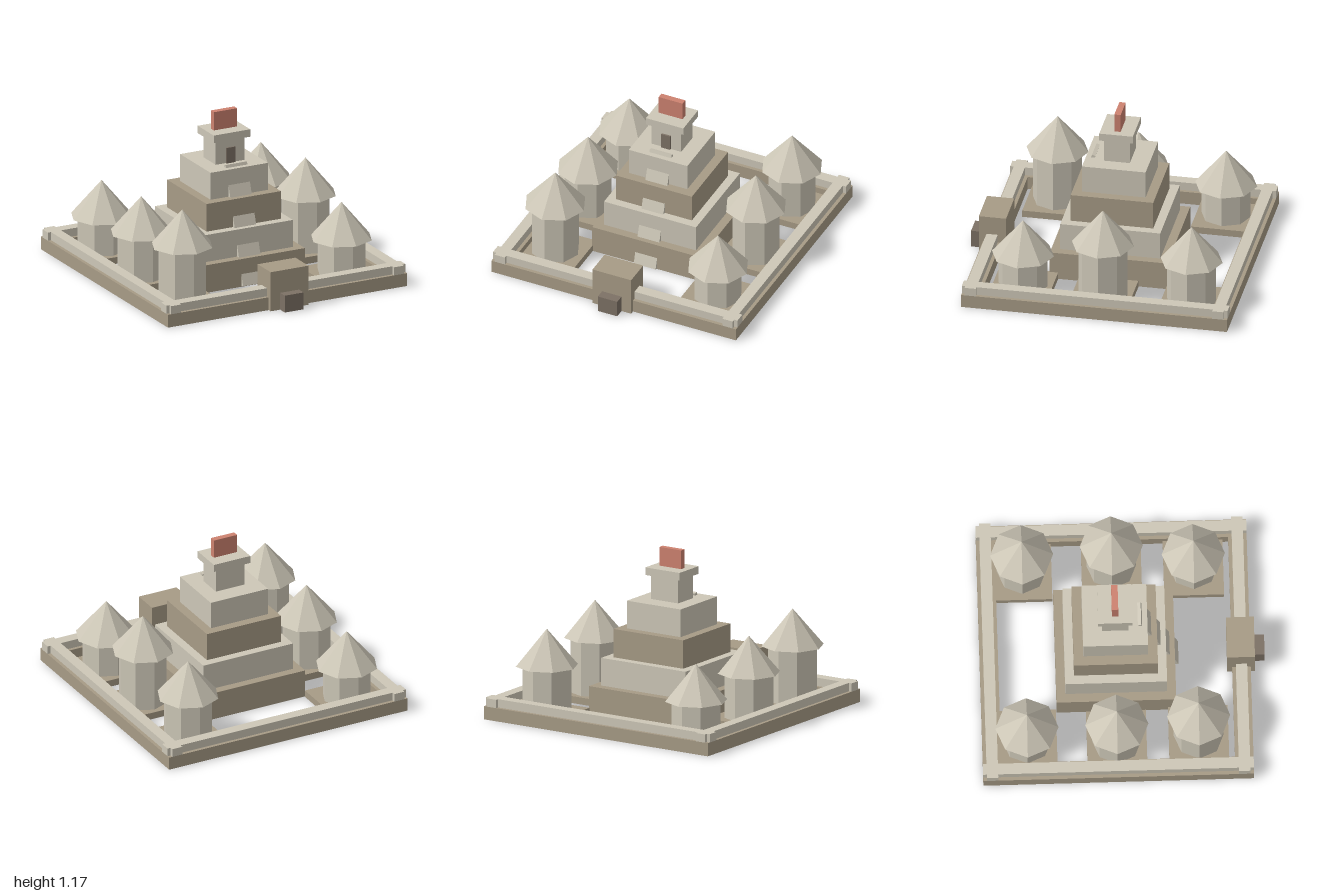
import * as THREE from 'three';

const material = (name, color) => {
  const m = new THREE.MeshStandardMaterial({ color });
  m.name = name;
  return m;
};

export function createModel() {
  const model = new THREE.Group();
  model.name = 'stepTempleCompound';
  const stone = material('pale stone', 0xcdc7b7);
  const earth = material('brown stone', 0xa79b86);
  const dark = material('dark opening', 0x7d7165);
  const red = material('red crest', 0xcd8270);
  const midZ = -0.05; // centre of the walled court

  const add = (name, geometry, mat, x, y, z, parent = model) => {
    const mesh = new THREE.Mesh(geometry, mat);
    mesh.name = name;
    mesh.position.set(x, y, z);
    parent.add(mesh);
    return mesh;
  };
  // Box given by its width, depth and its bottom and top heights
  const block = (name, mat, x, z, w, d, y0, y1, parent) =>
    add(name, new THREE.BoxGeometry(w, y1 - y0, d), mat, x, (y0 + y1) / 2, z, parent);
  // Faceted geometry with one normal per face
  const faceted = (geometry) => {
    const g = geometry.toNonIndexed();
    g.computeVertexNormals();
    return g;
  };

  // Surrounding wall: footing with a narrower parapet that crosses at the corners
  const wall = new THREE.Group();
  wall.name = 'courtWall';
  model.add(wall);
  for (const s of [-1, 1]) {
    block('sideFooting', earth, s * 0.885, midZ, 0.13, 1.9, 0, 0.095, wall);
    block('sideParapet', stone, s * 0.885, midZ, 0.08, 1.9, 0.095, 0.155, wall);
    block('endFooting', earth, 0, midZ + s * 0.885, 1.64, 0.13, 0, 0.095, wall);
    block('endParapet', stone, 0, midZ + s * 0.885, 1.9, 0.08, 0.095, 0.155, wall);
  }

  // Gatehouse
  block('gatehouse', earth, 0, 0.8325, 0.3, 0.195, 0, 0.29);
  block('gateDoor', dark, 0, 0.95, 0.15, 0.1, 0, 0.125);

  // Stepped pyramid: width, bottom, top, material
  const pyramid = new THREE.Group();
  pyramid.name = 'pyramid';
  model.add(pyramid);
  [
    [0.84, 0, 0.205, earth],
    [0.715, 0.205, 0.405, stone],
    [0.59, 0.405, 0.61, earth],
    [0.455, 0.61, 0.81, stone],
  ].forEach(([w, y0, y1, mat], i) => block('tier' + (i + 1), mat, 0, midZ, w, w, y0, y1, pyramid));

  // Sloping stair that shows above each ledge
  const stair = add('stair', new THREE.BoxGeometry(0.17, 0.86, 0.025), stone, 0, 0.418, 0.253, pyramid);
  stair.rotation.x = -0.31;

  // Shrine with its cornice, doorway and crest
  block('shrine', stone, 0, midZ, 0.23, 0.185, 0.81, 0.985, pyramid);
  block('shrineCornice', stone, 0, midZ, 0.29, 0.24, 0.985, 1.04, pyramid);
  block('shrineDoor', dark, 0, 0.047, 0.07, 0.016, 0.81, 0.925, pyramid);
  block('roofCrest', red, 0, midZ, 0.185, 0.045, 1.04, 1.175, pyramid);

  // Eight-sided huts on low platforms: x, z, eave height
  [
    [-0.635, 0.52, 0.445], [-0.655, -0.055, 0.37], [-0.635, -0.685, 0.295],
    [0.63, 0.52, 0.295], [0.65, -0.055, 0.445], [0.63, -0.685, 0.37],
  ].forEach(([x, z, eave]) => {
    const hut = new THREE.Group();
    hut.name = 'hut';
    model.add(hut);
    const floor = 0.05;
    block('hutPlatform', earth, x, z, 0.44, 0.42, 0, floor, hut);
    add('hutWalls', faceted(new THREE.CylinderGeometry(0.175, 0.175, eave - floor, 8)),
      stone, x, (eave + floor) / 2, z, hut);
    add('hutRoof', faceted(new THREE.ConeGeometry(0.222, 0.265, 8)), stone, x, eave + 0.1325, z, hut);
  });

  return model;
}
